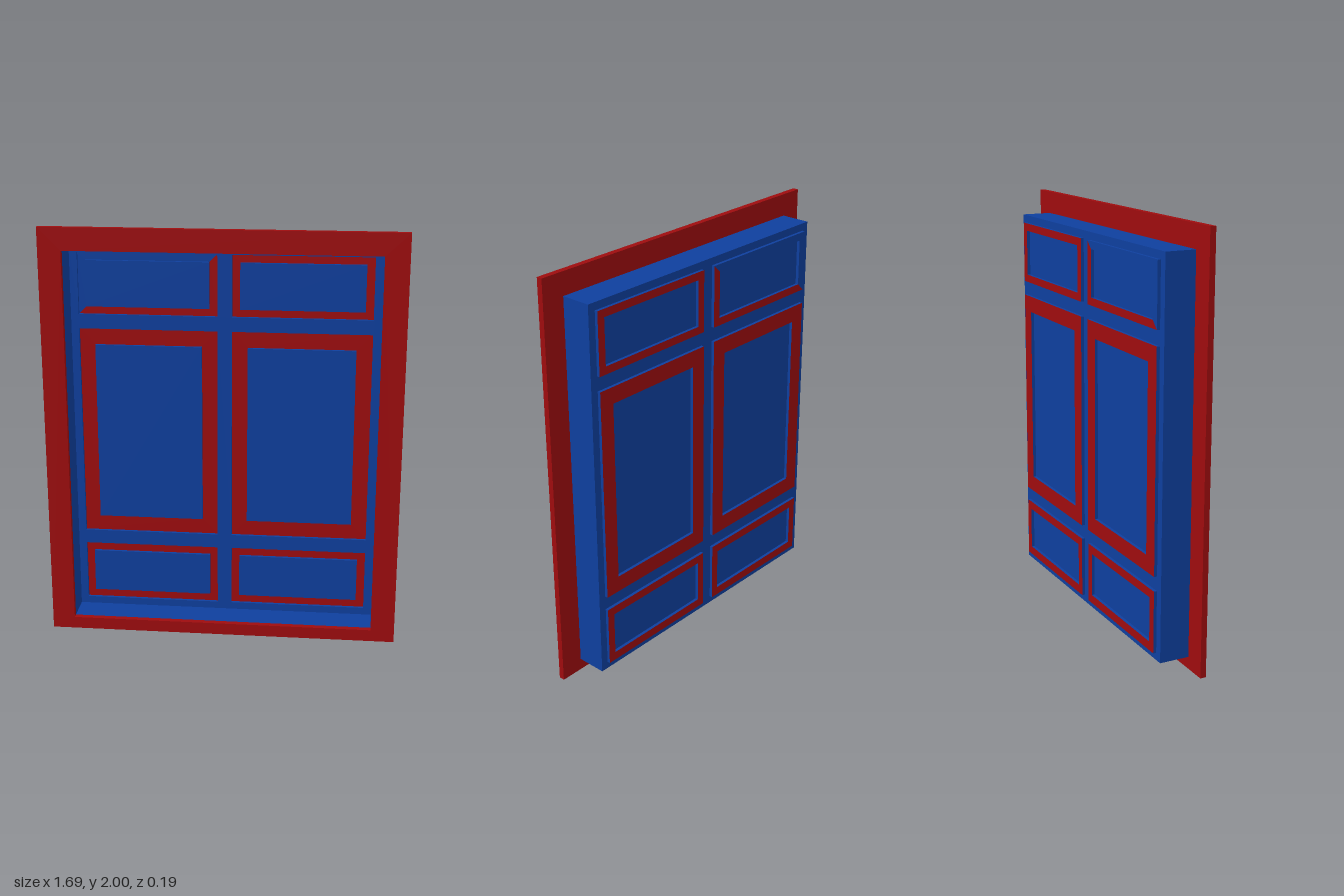
import * as THREE from 'three';

const blue = new THREE.MeshStandardMaterial({ color: 0x0e3f9e, side: THREE.DoubleSide });
const red = new THREE.MeshStandardMaterial({ color: 0x9e0c0e, side: THREE.DoubleSide });

// depths, front to back
const FRONT = 0.094, RIM = 0.066, WALL = -0.079, SASH = -0.094;

// corners of a rectangle, counter-clockwise from bottom left
const corners = ({ x0, x1, y0, y1 }) => [[x0, y0], [x1, y0], [x1, y1], [x0, y1]];
const pathOf = (r, Type) => new Type(corners(r).map(([x, y]) => new THREE.Vector2(x, y)));
const inset = (r, bx, by) => ({ x0: r.x0 + bx, x1: r.x1 - bx, y0: r.y0 + by, y1: r.y1 - by });

function add(parent, name, geometry, material) {
  const mesh = new THREE.Mesh(geometry, material);
  mesh.name = name;
  parent.add(mesh);
  return mesh;
}

// flat sheet at depth z, with optional rectangular openings
function sheet(rect, z, holes = []) {
  const shape = pathOf(rect, THREE.Shape);
  shape.holes = holes.map((h) => pathOf(h, THREE.Path));
  return new THREE.ShapeGeometry(shape).translate(0, 0, z);
}

// four thin walls joining depth z0 to z1 around a rectangle
function sleeve(rect, z0, z1) {
  const c = corners(rect), positions = [];
  c.forEach(([ax, ay], i) => {
    const [bx, by] = c[(i + 1) % 4];
    positions.push(ax, ay, z1, bx, by, z1, bx, by, z0, ax, ay, z1, bx, by, z0, ax, ay, z0);
  });
  const g = new THREE.BufferGeometry();
  g.setAttribute('position', new THREE.Float32BufferAttribute(positions, 3));
  g.computeVertexNormals();
  return g;
}

// mitred sash border around a pane
function window(name, outer, bx, by, blueSides = []) {
  const group = new THREE.Group();
  group.name = name;
  const inner = inset(outer, bx, by);
  const o = corners(outer), n = corners(inner);
  ['Bottom', 'Right', 'Top', 'Left'].forEach((side, i) => {
    const j = (i + 1) % 4;
    const shape = new THREE.Shape([o[i], o[j], n[j], n[i]].map(([x, y]) => new THREE.Vector2(x, y)));
    const g = new THREE.ShapeGeometry(shape).translate(0, 0, SASH);
    add(group, 'sash' + side, g, blueSides.includes(side) ? blue : red);
  });
  add(group, 'sashOuterEdge', sleeve(outer, WALL, SASH), blue);
  add(group, 'sashInnerEdge', sleeve(inner, WALL, SASH), blue);
  add(group, 'pane', sheet(inner, WALL), blue);
  return group;
}

export function createModel() {
  const model = new THREE.Group();
  model.name = 'windowUnit';

  // flat outer trim around the opening
  const opening = { x0: -0.735, x1: 0.73, y0: 0.058, y1: 1.893 };
  const trim = pathOf({ x0: -0.843, x1: 0.843, y0: 0, y1: 2 }, THREE.Shape);
  trim.holes.push(pathOf(opening, THREE.Path));
  const trimGeometry = new THREE.ExtrudeGeometry(trim, { depth: FRONT - RIM, bevelEnabled: false });
  add(model, 'outerTrim', trimGeometry.translate(0, 0, RIM), red);

  // deep box behind the trim
  add(model, 'boxWalls', sleeve(opening, RIM, WALL), blue);

  // three rows of two windows
  const rows = [
    { name: 'lower', y0: 0.093, y1: 0.39, bx: 0.039, by: 0.042 },
    { name: 'middle', y0: 0.459, y1: 1.492, bx: 0.075, by: 0.079 },
    { name: 'upper', y0: 1.562, y1: 1.857, bx: 0.038, by: 0.037 },
  ];
  const holes = [];
  for (const row of rows) {
    for (const [side, x0] of [['Right', -0.698], ['Left', 0.032]]) {
      const outer = { x0, x1: x0 + 0.661, y0: row.y0, y1: row.y1 };
      // one upper sash has two sides in the wall colour
      const blueSides = row.name === 'upper' && side === 'Right' ? ['Top', 'Left'] : [];
      model.add(window(row.name + side + 'Window', outer, row.bx, row.by, blueSides));
      holes.push(outer);
    }
  }

  // back wall between the windows
  add(model, 'backWall', sheet(opening, WALL, holes), blue);
  return model;
}
